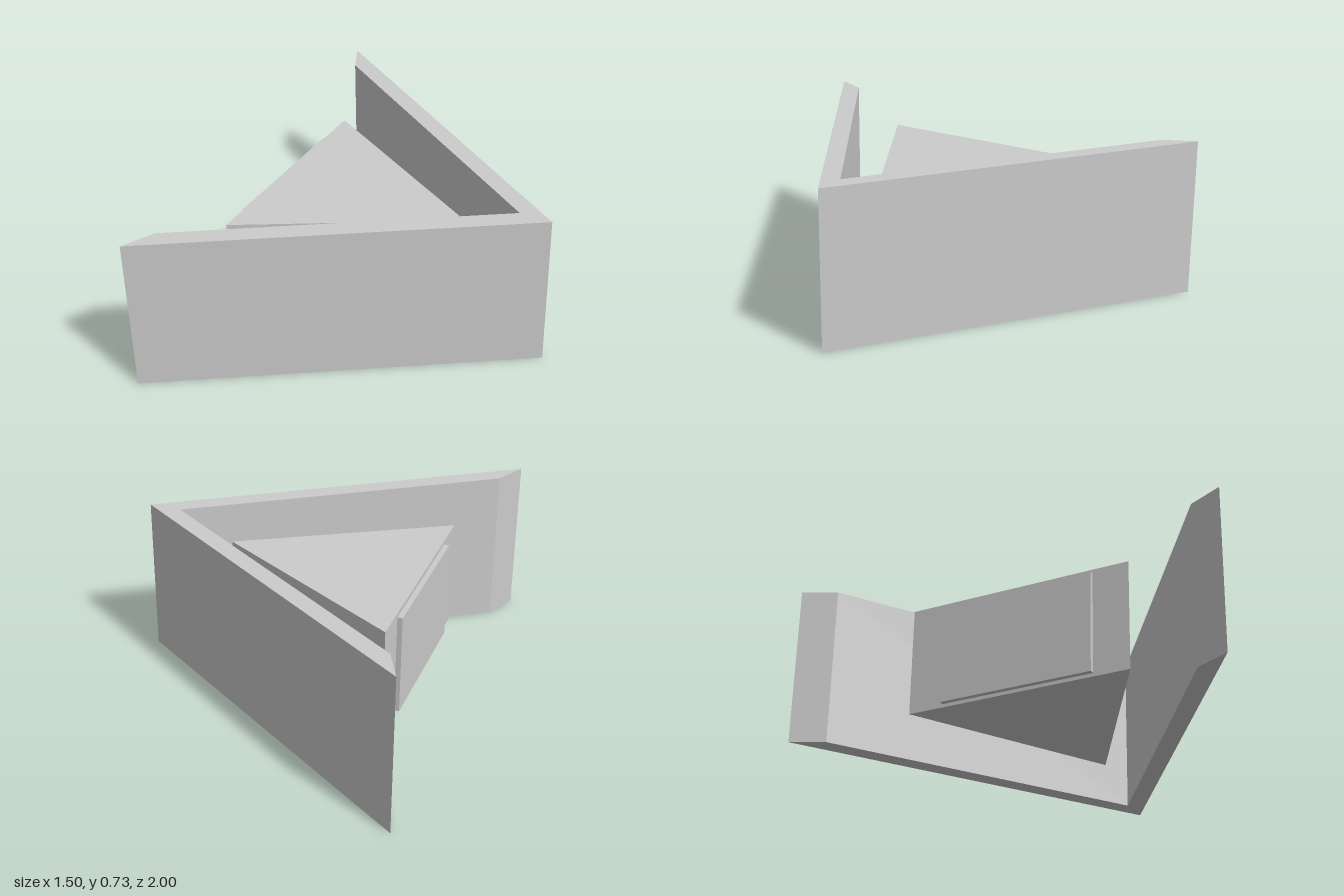
import * as THREE from 'three';

const material = new THREE.MeshStandardMaterial({ color: 0xcccccc, flatShading: true });

// Upright prism from a plan outline of [x, z] points, standing between two heights
function prism(name, outline, bottom, top) {
  const shape = new THREE.Shape(outline.map(([x, z]) => new THREE.Vector2(x, -z)));
  const geometry = new THREE.ExtrudeGeometry(shape, { depth: top - bottom, bevelEnabled: false });
  geometry.rotateX(-Math.PI / 2).translate(0, bottom, 0);
  const mesh = new THREE.Mesh(geometry, material);
  mesh.name = name;
  return mesh;
}

export function createModel() {
  const group = new THREE.Group();
  group.name = 'wedgeHousing';

  // V-shaped outer wall, open towards -x, with slanted ends
  group.add(prism('outerWall', [
    [0.75, 0], [-0.75, 1], [-0.68, 0.853], [0.6, 0], [-0.68, -0.853], [-0.75, -1],
  ], 0, 0.733));

  // Triangular core floating inside the V
  group.add(prism('innerCore', [[0.345, 0], [-0.555, -0.52], [-0.555, 0.52]], 0.117, 0.616));

  // Thin raised panel on the core's broad face
  const panel = new THREE.Mesh(new THREE.BoxGeometry(0.023, 0.463, 0.71), material);
  panel.name = 'facePanel';
  panel.position.set(-0.5665, 0.364, 0);
  group.add(panel);

  return group;
}
